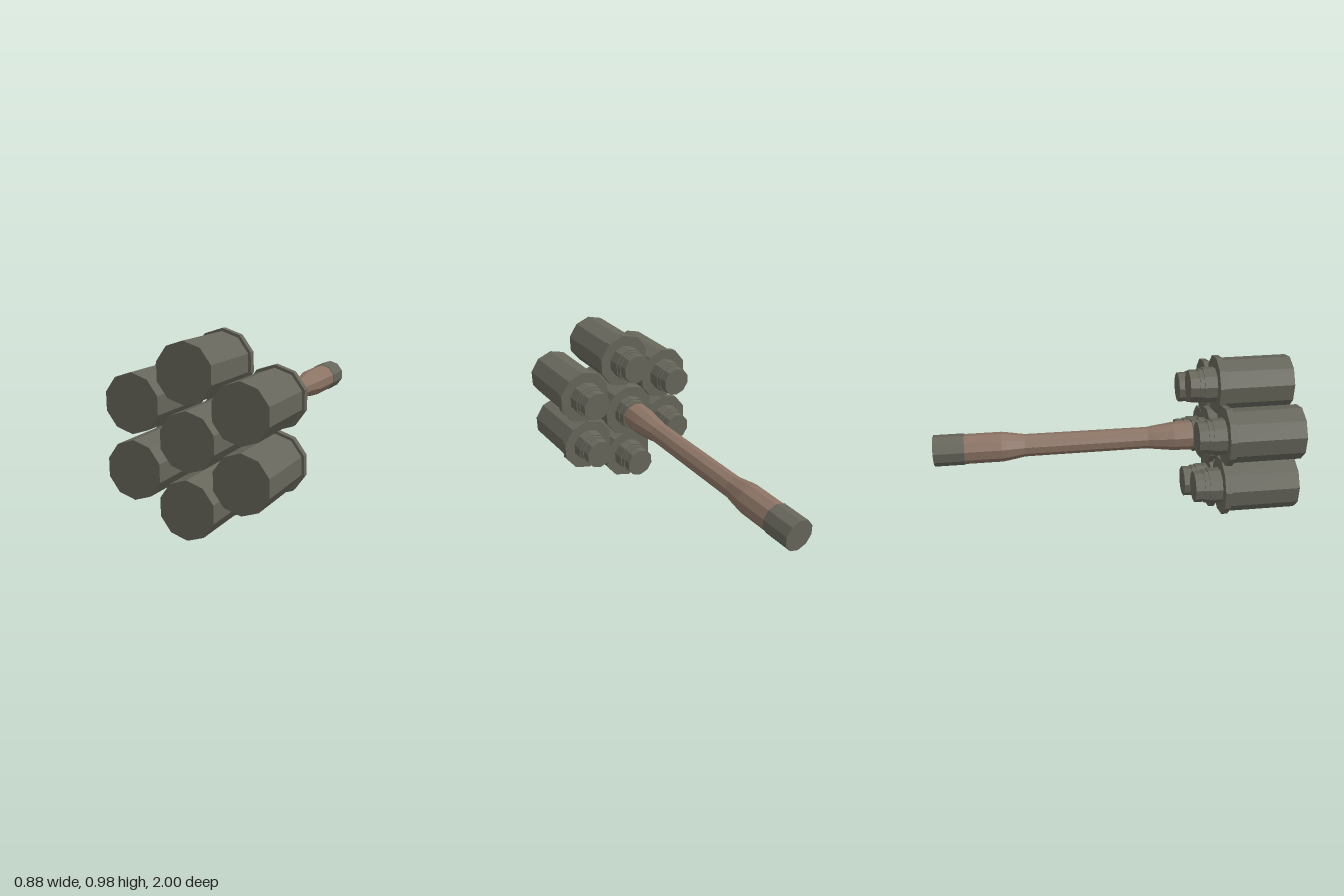
import * as THREE from 'three';

const SIDES = 10;
const CENTRE_Y = 0.492;

const steel = new THREE.MeshStandardMaterial({ color: 0x66665b, flatShading: true });
steel.name = 'grey green steel';
const wood = new THREE.MeshStandardMaterial({ color: 0x8c7465, flatShading: true });
wood.name = 'brown wood';

// Ten-sided turned part along z; profile is [radius, z] from back to front
function turned(name, profile, material, x = 0, y = CENTRE_Y) {
  const points = profile.map(([r, z]) => new THREE.Vector2(r, z));
  const geometry = new THREE.LatheGeometry(points, SIDES).rotateX(Math.PI / 2);
  const mesh = new THREE.Mesh(geometry, material);
  mesh.name = name;
  mesh.position.set(x, y, 0);
  return mesh;
}

export function createModel() {
  const model = new THREE.Group();
  model.name = 'bundledStickCharge';

  // Six outer canisters: stepped cap, neck, flange and body
  const outerProfile = [
    [0, 0.435], [0.088, 0.435], [0.088, 0.487], [0.094, 0.487], [0.094, 0.512],
    [0.1, 0.512], [0.1, 0.583], [0.164, 0.583], [0.164, 0.617],
    [0.149, 0.617], [0.149, 1], [0, 1],
  ];
  for (let i = 0; i < 6; i++) {
    const a = Math.PI / 2 + (i * Math.PI) / 3;
    model.add(turned('outerCanister', outerProfile, steel,
      Math.cos(a) * 0.327, CENTRE_Y + Math.sin(a) * 0.327));
  }

  // Central canister, set slightly back, with a collar for the handle
  model.add(turned('centreCanister', [
    [0, 0.47], [0.094, 0.47], [0.094, 0.51], [0.1, 0.51], [0.1, 0.553],
    [0.164, 0.553], [0.164, 0.587], [0.149, 0.587], [0.149, 0.985], [0, 0.985],
  ], steel));

  // Waisted wooden handle
  model.add(turned('handle', [
    [0.085, -0.83], [0.085, -0.62], [0.081, -0.59], [0.064, -0.49],
    [0.062, 0.21], [0.068, 0.25], [0.082, 0.36], [0.085, 0.48],
  ], wood));

  // Metal cap at the end of the handle
  model.add(turned('handleEndCap', [
    [0, -1], [0.089, -1], [0.089, -0.828], [0.08, -0.825],
  ], steel));

  return model;
}
